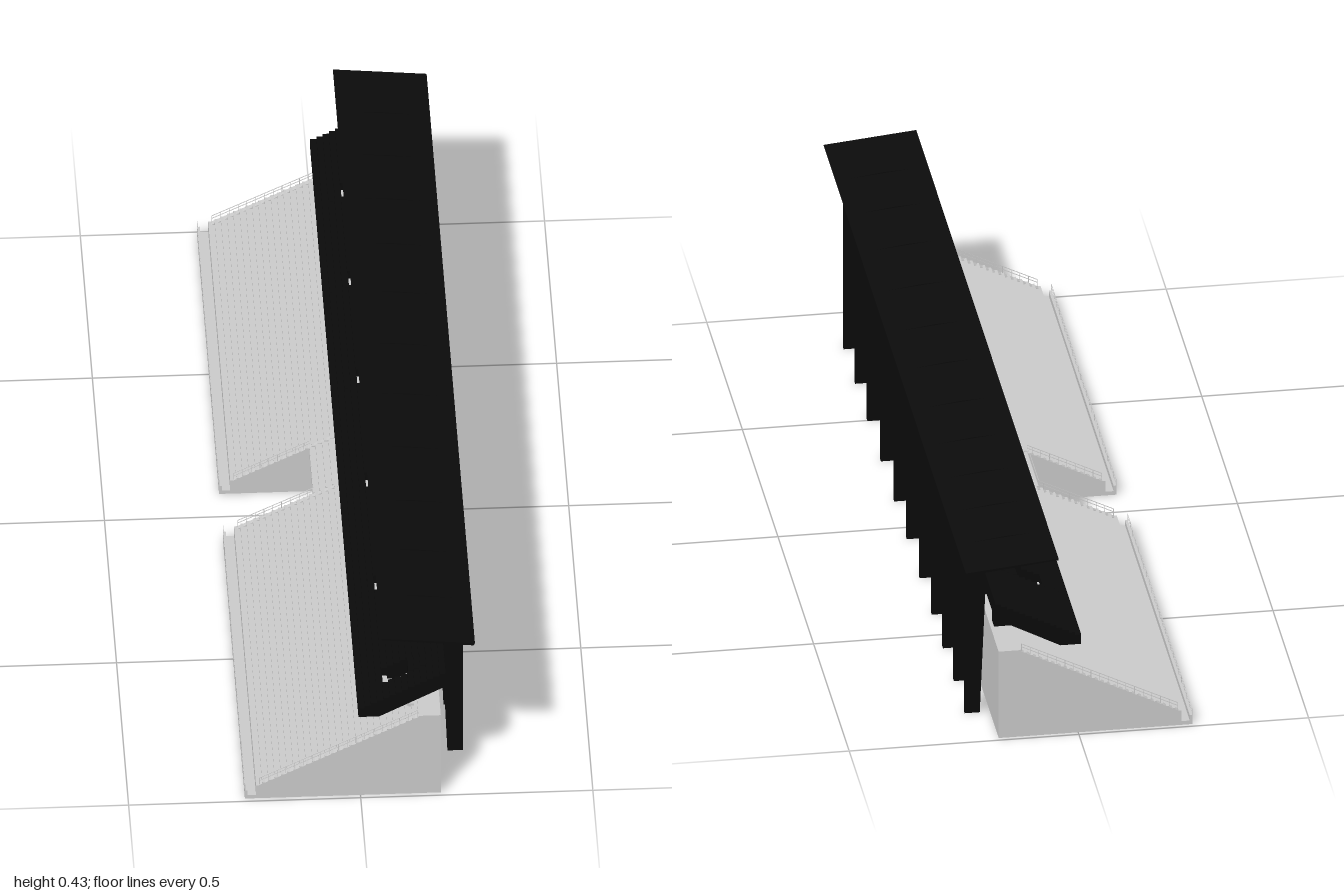
import * as THREE from 'three';
import { mergeGeometries } from 'three/addons/utils/BufferGeometryUtils.js';

const grey = new THREE.MeshStandardMaterial({ color: 0xcccccc, flatShading: true });
const black = new THREE.MeshStandardMaterial({ color: 0x0b0b0b, flatShading: true });

// side profile [x, y] extruded from z0 to z1
function slab(points, z0, z1) {
  const shape = new THREE.Shape(points.map(p => new THREE.Vector2(p[0], p[1])));
  const g = new THREE.ExtrudeGeometry(shape, { depth: z1 - z0, bevelEnabled: false });
  return g.translate(0, 0, z0);
}
const block = (x0, x1, y0, y1, z0, z1) =>
  slab([[x0, y0], [x1, y0], [x1, y1], [x0, y1]], z0, z1);

// stepped line: each tread is flat and followed by a riser
function steps(x0, y0, x1, y1, n) {
  const pts = [];
  const dx = (x1 - x0) / n, dy = (y1 - y0) / n;
  for (let i = 0; i < n; i++) {
    pts.push([x0 + i * dx, y0 + i * dy], [x0 + (i + 1) * dx, y0 + i * dy]);
  }
  pts.push([x1, y1]);
  return pts;
}

export function createModel() {
  const model = new THREE.Group();
  const add = (name, geometries, material) => {
    const mesh = new THREE.Mesh(mergeGeometries(geometries), material);
    mesh.name = name;
    model.add(mesh);
  };

  const END = 0.99, GAP = 0.08;          // half length, half width of entrance
  const FRONT = -0.225, BACK = 0.172, TOP = 0.21, CUT = -0.055;
  const slopeY = x => 0.035 + (x - FRONT) * 0.5;
  const halves = [[-END, -GAP], [GAP, END]];

  // lower seating: stepped shell, shortened over the entrance
  const tiers = (x0, n) => [
    ...steps(x0, slopeY(x0), 0.125, TOP, n),
    [BACK, TOP], [BACK, TOP - 0.012], [0.13, TOP - 0.012],
    [x0, slopeY(x0) - 0.014],
  ];
  add('lowerSeating', [
    ...halves.map(([a, b]) => slab(tiers(FRONT, 26), a, b)),
    slab(tiers(CUT, 13), -GAP, GAP),
  ], grey);

  // end walls and walls beside the entrance
  const wedge = (x0, x1) => [[x0, 0], [x1, 0], [x1, Math.min(slopeY(x1), TOP) - 0.003],
    [Math.min(x1, 0.125), slopeY(Math.min(x1, 0.125)) - 0.003], [x0, slopeY(x0) - 0.003]]
    .filter((p, i) => !(i === 3 && x1 <= 0.125));
  const walls = [];
  for (const s of [-1, 1]) {
    const wall = (pts, a, b) => walls.push(slab(pts, Math.min(s * a, s * b), Math.max(s * a, s * b)));
    wall(wedge(FRONT, BACK), END - 0.012, END);
    wall(wedge(FRONT, 0.02), GAP, GAP + 0.01);
    wall(wedge(0.02, BACK - 0.005), 0.3, 0.31);
    wall(wedge(0.02, BACK - 0.005), 0.62, 0.63);
  }
  add('sideWalls', walls, grey);

  // base, inner wall and front walkway with its parapet
  const base = [];
  for (const [a, b] of halves) {
    base.push(block(FRONT, 0.02, 0, 0.008, a, b));
    base.push(block(FRONT, FRONT + 0.008, 0, 0.034, a, b));
    base.push(slab([[0.012, 0], [0.02, 0], [0.02, 0.15], [0.012, 0.146]], a, b));
    base.push(slab([[-0.249, 0], [FRONT, 0], [FRONT, 0.009], [-0.243, 0.009],
      [-0.243, 0.022], [-0.249, 0.022]], a, b));
  }
  add('baseAndWalkway', base, grey);

  // rear wall with rows of doors and small windows above them
  const doors = [];
  for (const c of [-0.24, -0.16, -0.075, 0, 0.075, 0.16, 0.24]) {
    for (const d of [-0.02, 0, 0.02]) doors.push(c + d);
  }
  const outline = [[-END, 0]];
  for (const z of doors) {
    outline.push([z - 0.006, 0], [z - 0.006, 0.045], [z + 0.006, 0.045], [z + 0.006, 0]);
  }
  outline.push([END, 0], [END, TOP], [-END, TOP]);
  const rear = new THREE.Shape(outline.map(p => new THREE.Vector2(p[0], p[1])));
  for (const z of doors) {
    rear.holes.push(new THREE.Path([[z - 0.005, 0.06], [z - 0.005, 0.069],
      [z + 0.005, 0.069], [z + 0.005, 0.06]].map(p => new THREE.Vector2(p[0], p[1]))));
  }
  add('rearWall', [new THREE.ExtrudeGeometry(rear, { depth: 0.008, bevelEnabled: false })
    .rotateY(-Math.PI / 2).translate(BACK + 0.001, 0, 0)], grey);

  // railings: sloping at the ends and entrance, level along the front
  const rails = [];
  const slopedRail = (z, x1) => {
    for (const h of [0.008, 0.015]) {
      rails.push(slab([[-0.218, slopeY(-0.218) + h - 0.0012], [x1, slopeY(x1) + h - 0.0012],
        [x1, slopeY(x1) + h], [-0.218, slopeY(-0.218) + h]], z - 0.0008, z + 0.0008));
    }
    for (let x = -0.218; x < x1; x += 0.0189) {
      rails.push(block(x, x + 0.0012, slopeY(x) - 0.008, slopeY(x) + 0.015, z - 0.0006, z + 0.0006));
    }
  };
  for (const s of [-1, 1]) {
    slopedRail(s * (END - 0.003), 0.124);
    slopedRail(s * (GAP + 0.003), CUT);
  }
  for (const [a, b] of halves) {
    for (const y of [0.03, 0.037]) rails.push(block(-0.249, -0.248, y, y + 0.001, a, b));
    for (let i = 0; i <= 24; i++) {
      const z = a + (b - a - 0.0012) * i / 24;
      rails.push(block(-0.249, -0.248, 0.022, 0.037, z, z + 0.0012));
    }
  }
  rails.push(block(CUT, CUT + 0.001, slopeY(CUT) + 0.014, slopeY(CUT) + 0.015, -GAP, GAP));
  add('railings', rails, grey);

  // upper seating: stepped band, opened where the stairs come through
  const under = x => (x < 0.04 ? 0.22 : 0.22 + (x - 0.04) * 0.53);
  const top = x => 0.243 + (x + 0.005) * 0.5;
  const band = (x0, x1, n) => [
    ...steps(x0, top(x0), x1, top(x1), n),
    [x1, under(x1)],
    ...(x0 < 0.04 && x1 > 0.04 ? [[0.04, 0.22]] : []),
    [x0, under(x0)],
  ];
  const stairZ = [-0.785, -0.475, -0.13, 0.233, 0.595, 0.92];
  const upper = [], stairs = [];
  let start = -1;
  for (const z of stairZ) {
    const a = z - 0.024, b = z + 0.024;
    upper.push(slab(band(-0.005, 0.183, 14), start, a));
    upper.push(slab(band(-0.005, 0.05, 4), a, b));
    upper.push(slab(band(0.105, 0.183, 6), a, b));
    start = b;
    // flight going down to the lower deck
    stairs.push(slab([...steps(0.05, 0.25, 0.118, 0.2, 6), [0.108, 0.2], [0.05, 0.237]], a, b));
  }
  upper.push(slab(band(-0.005, 0.183, 14), start, 1));
  add('upperSeating', upper, black);
  add('upperStairs', stairs, grey);

  // columns with roof brackets, and short posts under the upper seating
  const columnZ = [-0.86, -0.71, -0.557, -0.4, -0.23, -0.048, 0.128, 0.315, 0.503, 0.677, 0.838];
  const columns = [], posts = [];
  for (const z of columnZ) {
    columns.push(slab([[0.195, 0], [0.228, 0], [0.228, 0.384], [0.245, 0.41],
      [0.14, 0.424], [0.045, 0.429], [0.052, 0.419], [0.182, 0.382], [0.183, 0.29]],
    z - 0.006, z + 0.006));
    posts.push(slab([[0.128, TOP], [0.165, TOP], [0.165, 0.29], [0.128, 0.27]],
      z - 0.014, z + 0.014));
  }
  add('columns', columns, black);
  add('supportPosts', posts, black);

  // roof: thin plate falling towards the rear
  add('roof', [slab([[0.044, 0.431], [0.045, 0.427], [0.243, 0.405], [0.246, 0.411]], -1, 1)], black);

  return model;
}
